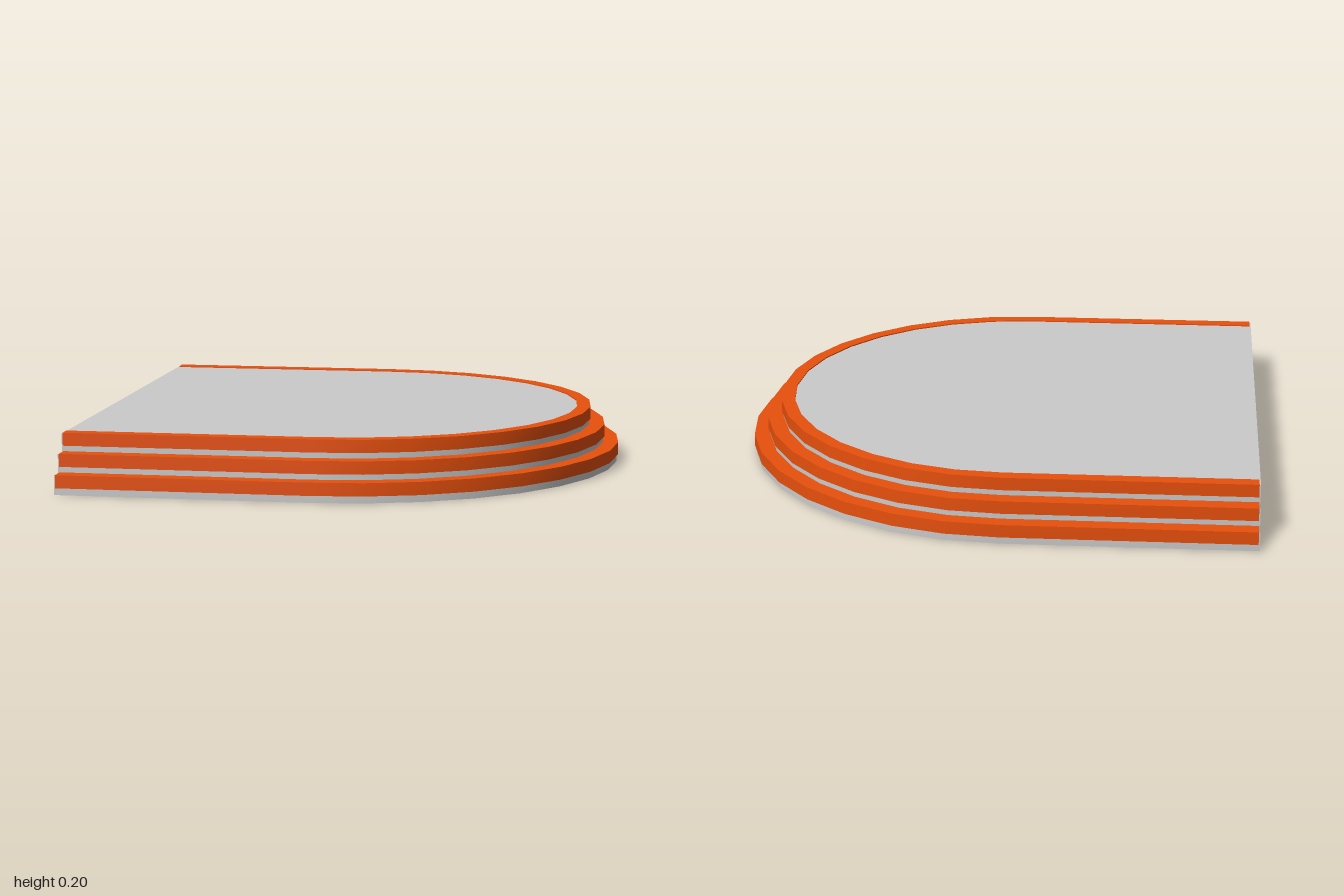
import * as THREE from 'three';

const CX = -0.055, BACK = -0.945, SEGMENTS = 16;

// Half-stadium outline: straight side, semicircle, straight side, as [x, z]
function outline(r, back) {
  const pts = [[back, r]];
  for (let i = 0; i <= SEGMENTS; i++) {
    const a = (i / SEGMENTS) * Math.PI;
    pts.push([CX + r * Math.sin(a), r * Math.cos(a)]);
  }
  pts.push([back, -r]);
  return pts;
}

// Sweep a [radius, y] profile round the outline, keeping profile corners sharp
function sweep(profile, back, material, name) {
  const position = [], index = [];
  for (let s = 0; s < profile.length - 1; s++) {
    const base = position.length / 3;
    const [r0, y0] = profile[s], [r1, y1] = profile[s + 1];
    const a = outline(r0, back), b = outline(r1, back);
    a.forEach(([x, z], i) => {
      position.push(x, y0, z, b[i][0], y1, b[i][1]);
      if (i < a.length - 1) {
        const k = base + i * 2;
        index.push(k, k + 2, k + 3, k, k + 3, k + 1);
      }
    });
  }
  const geometry = new THREE.BufferGeometry();
  geometry.setAttribute('position', new THREE.Float32BufferAttribute(position, 3));
  geometry.setIndex(index);
  geometry.computeVertexNormals();
  const mesh = new THREE.Mesh(geometry, material);
  mesh.name = name;
  return mesh;
}

export function createModel() {
  const grey = new THREE.MeshStandardMaterial({ color: 0xcccccc, side: THREE.DoubleSide });
  const orange = new THREE.MeshStandardMaterial({ color: 0xe8500c, side: THREE.DoubleSide });
  const model = new THREE.Group();
  model.name = 'steppedStage';

  const steps = 3, rise = 0.066, inset = 0.0525, lip = 0.005, bandHeight = 0.046, deckY = 0.199;
  for (let n = 0; n < steps; n++) {
    const r = 1 - n * inset;
    const top = (n + 1) * rise + 0.005;
    const bottom = n === 0 ? 0 : n * rise + 0.005;
    const last = n === steps - 1;
    const step = new THREE.Group();
    step.name = 'step' + (n + 1);

    // Thin riser wall behind the nosing
    step.add(sweep([[r - lip, bottom], [r - lip, last ? deckY : top - 0.001]], BACK, grey, 'riser'));

    // Nosing: under-lip, front band and tread
    const inner = last ? 0.845 : r - inset - lip;
    const profile = [[r - lip, top - bandHeight], [r, top - bandHeight], [r, top], [inner, top]];
    if (last) profile.push([inner, deckY]);
    step.add(sweep(profile, BACK + 0.005, orange, 'nosing'));
    model.add(step);
  }

  // Flat deck closing the top
  const deckRadius = 1 - (steps - 1) * inset - lip;
  const shape = new THREE.Shape(outline(deckRadius, BACK).map(([x, z]) => new THREE.Vector2(x, -z)));
  const deck = new THREE.Mesh(new THREE.ShapeGeometry(shape).rotateX(-Math.PI / 2), grey);
  deck.position.y = deckY;
  deck.name = 'deck';
  model.add(deck);

  return model;
}
